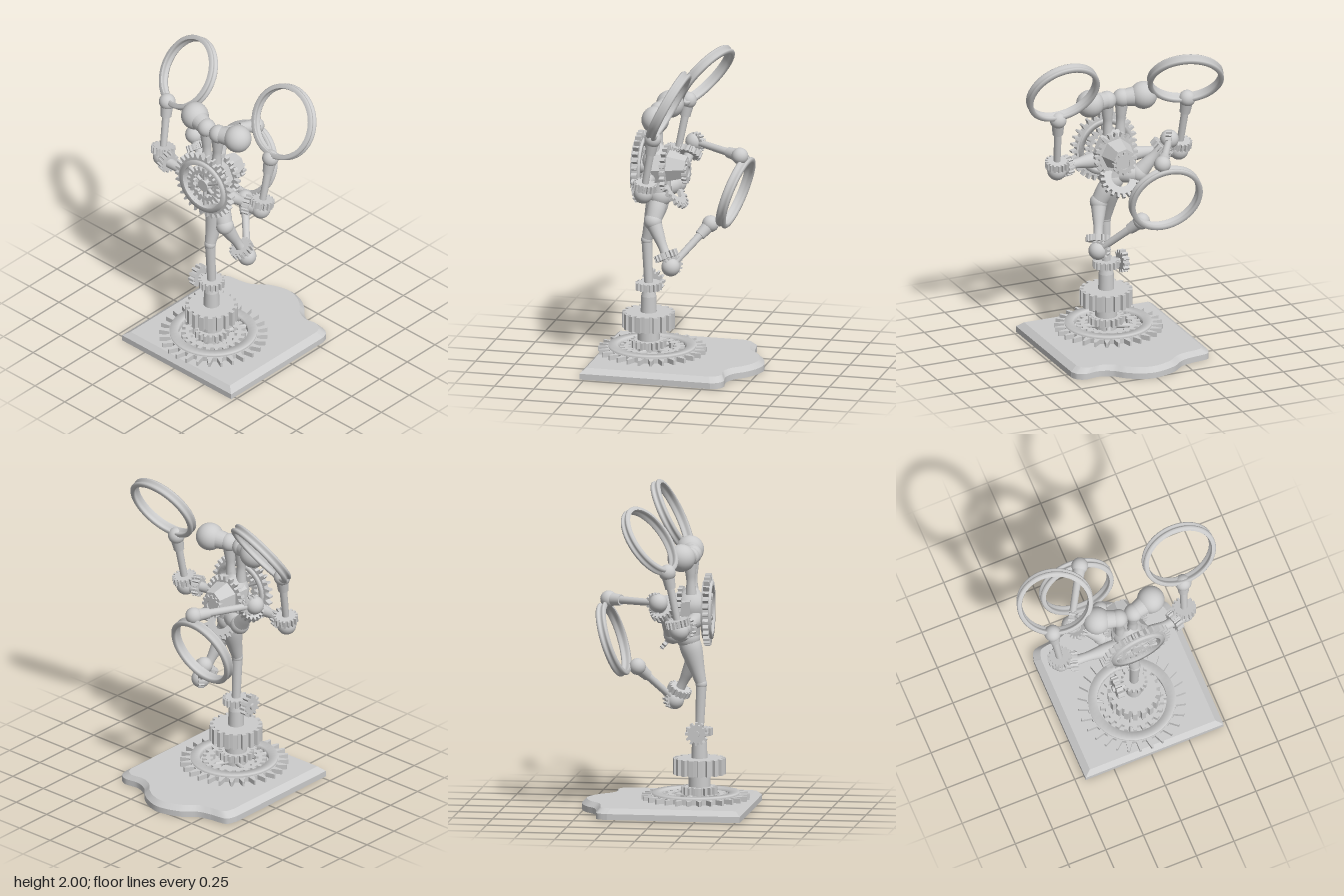
import * as THREE from 'three';

const mat = new THREE.MeshStandardMaterial({ color: 0xcccccc });
const V = (x, y, z) => new THREE.Vector3(x, y, z);
const Y = V(0, 1, 0), Z = V(0, 0, 1);

export function createModel() {
  const root = new THREE.Group();

  const add = (name, geo, parent = root) => {
    const m = new THREE.Mesh(geo, mat);
    m.name = name;
    parent.add(m);
    return m;
  };

  const ball = (name, p, r) => add(name, new THREE.SphereGeometry(r, 24, 16)).position.copy(p);

  // Tapered rod between two points
  const rod = (name, a, b, ra, rb) => {
    const d = b.clone().sub(a);
    const m = add(name, new THREE.CylinderGeometry(rb, ra, d.length(), 20));
    m.position.copy(a).lerp(b, 0.5);
    m.quaternion.setFromUnitVectors(Y, d.normalize());
  };

  // Rounded limb: a smooth profile [distance fraction, radius] turned about the line a-b
  const limb = (name, a, b, profile) => {
    const d = b.clone().sub(a), len = d.length();
    const pts = new THREE.SplineCurve(profile.map(([t, r]) => new THREE.Vector2(r, t * len))).getPoints(20);
    const m = add(name, new THREE.LatheGeometry(pts, 24));
    m.material = mat;
    m.position.copy(a);
    m.quaternion.setFromUnitVectors(Y, d.normalize());
  };

  // Toothed outline; tip is the share of a tooth that stays flat at the top
  const toothed = (path, rRoot, rTip, n, tip) => {
    const pts = [];
    for (let i = 0; i < n; i++) {
      for (const [f, r] of [[-0.5, rRoot], [-0.3, rRoot], [-tip, rTip], [tip, rTip], [0.3, rRoot]]) {
        const a = (i + f) / n * Math.PI * 2;
        pts.push(new THREE.Vector2(Math.cos(a) * r, Math.sin(a) * r));
      }
    }
    return path.setFromPoints(pts);
  };

  // Gear centred on p, turning about axis
  const gear = (name, p, axis, r, thick, n, { depth = 0.2, tip = 0.2, hole = 0, inner = 0 } = {}) => {
    const s = toothed(new THREE.Shape(), r * (1 - depth), r, n, tip);
    if (inner) s.holes.push(toothed(new THREE.Path(), inner, inner * 0.87, Math.round(n * 0.7), 0.2));
    else if (hole) s.holes.push(new THREE.Path().absarc(0, 0, hole, 0, Math.PI * 2, true));
    const g = new THREE.ExtrudeGeometry(s, { depth: thick, bevelEnabled: false, curveSegments: 32 });
    g.translate(0, 0, -thick / 2);
    const m = add(name, g);
    m.position.copy(p);
    m.quaternion.setFromUnitVectors(Z, axis.clone().normalize());
  };

  // Ring with rectangular section
  const band = (name, p, axis, rIn, rOut, thick) => {
    const h = thick / 2;
    const pts = [[rIn, -h], [rOut, -h], [rOut, h], [rIn, h], [rIn, -h]];
    const m = add(name, new THREE.LatheGeometry(pts.map(q => new THREE.Vector2(...q)), 48));
    m.position.copy(p);
    m.quaternion.setFromUnitVectors(Y, axis.clone().normalize());
  };

  // Base plate: upright lower edge, sloped upper edge
  const outline = new THREE.Shape();
  outline.moveTo(-0.53, -0.44);
  outline.lineTo(0.3, -0.44);
  outline.splineThru([[0.365, -0.41], [0.385, -0.3], [0.41, -0.22], [0.48, -0.13], [0.52, 0], [0.5, 0.1],
    [0.45, 0.18], [0.39, 0.24], [0.36, 0.32], [0.37, 0.41], [0.345, 0.46], [0.3, 0.48]]
    .map(q => new THREE.Vector2(...q)));
  outline.lineTo(-0.53, 0.48);
  for (const [top, depth, sx, sz] of [[0.037, 0.037, 1, 1], [0.067, 0.03, 0.94, 0.91]]) {
    const g = new THREE.ExtrudeGeometry(outline, { depth, bevelEnabled: false, curveSegments: 36 });
    g.rotateX(Math.PI / 2).translate(0, top, 0);
    const pos = g.attributes.position;
    for (let i = 0; i < pos.count; i++) {
      if (pos.getY(i) > top - 0.001) pos.setXYZ(i, pos.getX(i) * sx, top, 0.02 + (pos.getZ(i) - 0.02) * sz);
    }
    g.computeVertexNormals();
    add('basePlate', g);
  }

  // Flat ring gear on the plate
  const disc = V(-0.188, 0.09, 0.01);
  gear('baseRingGear', disc, Y, 0.335, 0.03, 28, { depth: 0.18, tip: 0.08, hole: 0.215 });
  band('baseRingRim', V(-0.188, 0.1, 0.01), Y, 0.215, 0.27, 0.04);
  gear('baseInnerGear', V(-0.188, 0.09, 0.01), Y, 0.2, 0.035, 22, { depth: 0.13, inner: 0.15 });
  for (let i = 0; i < 4; i++) {
    const a = i * Math.PI / 2 + 0.4;
    rod('baseSpoke', disc, V(-0.188 + Math.cos(a) * 0.23, 0.085, 0.01 + Math.sin(a) * 0.23), 0.015, 0.015);
  }

  // Pillar with its stacked gears
  const P = y => V(-0.21, y, 0.015);
  gear('pillarFootGear', P(0.13), Y, 0.11, 0.045, 18);
  rod('pillarLower', P(0.07), P(0.24), 0.07, 0.067);
  gear('pillarGear', P(0.28), Y, 0.163, 0.1, 18, { depth: 0.14, tip: 0.24 });
  rod('pillarUpper', P(0.32), P(0.43), 0.05, 0.047);
  rod('pillarShoulder', P(0.43), P(0.48), 0.047, 0.036);
  gear('ankleGear', P(0.495), Y, 0.083, 0.045, 16);
  rod('sideGearShaft', V(-0.21, 0.495, -0.13), P(0.495), 0.02, 0.02);
  gear('sideGear', V(-0.21, 0.495, -0.095), Z, 0.072, 0.04, 12, { depth: 0.25 });

  // Standing leg
  const knee = V(-0.222, 0.79, 0.015), pelvis = V(-0.14, 1.08, 0.01);
  rod('standingShin', P(0.5), knee, 0.027, 0.033);
  ball('standingKnee', knee, 0.036);
  limb('standingThigh', knee, pelvis, [[0, 0.033], [0.3, 0.046], [0.75, 0.068], [1, 0.06]]);
  ball('pelvis', pelvis, 0.075);

  // Torso: waist, faceted chest and toothed plates
  limb('waist', pelvis, V(-0.17, 1.4, -0.02), [[0, 0.07], [0.3, 0.075], [0.7, 0.095], [1, 0.03]]);
  const chest = add('chest', new THREE.CylinderGeometry(0.07, 0.125, 0.2, 7).toNonIndexed());
  chest.geometry.computeVertexNormals();
  chest.rotation.z = -Math.PI / 2;
  chest.position.set(-0.07, 1.265, 0);
  gear('chestGear', V(0.025, 1.24, 0), V(1, 0, 0), 0.075, 0.03, 12, { hole: 0.035 });
  gear('chestPlateGear', V(-0.1, 1.255, 0), V(1, 0, 0), 0.145, 0.03, 20);
  gear('bellyGear', V(-0.06, 1.11, -0.01), V(0.77, 0.64, 0), 0.13, 0.025, 20, { hole: 0.06 });

  // Large back gear
  const bc = V(-0.265, 1.255, 0.01), bAxis = V(1, 0, -0.06);
  gear('backGear', bc, bAxis, 0.225, 0.035, 30, { depth: 0.14, tip: 0.12, hole: 0.15 });
  band('backGearRim', bc, bAxis, 0.15, 0.18, 0.06);
  gear('backInnerGear', bc, bAxis, 0.13, 0.03, 20, { inner: 0.085 });
  rod('backAxle', V(-0.285, 1.255, 0.01), V(-0.1, 1.255, 0.01), 0.04, 0.05);
  for (let i = 0; i < 3; i++) {
    const a = i * Math.PI / 3;
    const o = V(0, Math.cos(a) * 0.16, Math.sin(a) * 0.16);
    rod('backSpoke', bc.clone().sub(o), bc.clone().add(o), 0.012, 0.012);
  }

  // Hoop with two rims and a groove between them
  const hoop = (name, p, axis) => {
    const prof = [[0.208, -0.03], [0.228, -0.03], [0.236, -0.022], [0.236, -0.012], [0.226, -0.006], [0.226, 0.006],
      [0.236, 0.012], [0.236, 0.022], [0.228, 0.03], [0.208, 0.03], [0.204, 0.02], [0.212, 0.006], [0.212, -0.006],
      [0.204, -0.02], [0.208, -0.03]];
    const m = add(name, new THREE.LatheGeometry(prof.map(q => new THREE.Vector2(...q)), 64));
    m.position.copy(p);
    m.quaternion.setFromUnitVectors(Y, axis.normalize());
  };
  hoop('leftHoop', V(0.02, 1.775, 0.41), V(0.89, -0.45, 0));
  hoop('rightHoop', V(0.036, 1.74, -0.41), V(0.78, -0.58, 0.24));
  hoop('frontHoop', V(0.298, 1.085, -0.158), V(0.95, -0.31, 0.05));

  // Rod ending in a flared socket and a ball that grips a hoop
  const grip = (name, from, to) => {
    const d = to.clone().sub(from).normalize();
    const neck = to.clone().addScaledVector(d, -0.1);
    rod(name + 'Rod', from, neck, 0.021, 0.024);
    rod(name + 'Socket', neck, to, 0.033, 0.042);
    ball(name + 'Ball', to, 0.052);
  };

  // Shoulders and raised arms on both sides
  for (const [side, s, elbow, hand] of [
    ['left', 1, V(-0.15, 1.19, 0.375), V(-0.085, 1.55, 0.395)],
    ['right', -1, V(-0.155, 1.19, -0.45), V(-0.085, 1.555, -0.475)]]) {
    const zc = -0.02;
    const neck = V(-0.17, 1.36, zc + s * 0.04), top = V(-0.165, 1.595, zc + s * 0.05);
    const shoulder = V(-0.13, 1.605, zc + s * 0.18);
    limb(side + 'Column', neck, top, [[0, 0.034], [0.35, 0.028], [0.6, 0.034], [1, 0.046]]);
    ball(side + 'ColumnTop', top, 0.058);
    rod(side + 'ShoulderLink', top, shoulder, 0.05, 0.068);
    ball(side + 'Shoulder', shoulder, 0.086);

    const side2 = elbow.clone().add(V(-0.03, 0.01, -s * 0.075));
    const root2 = V(-0.2, 1.2, s * 0.06);
    limb(side + 'UpperArm', root2, side2, [[0, 0.05], [0.35, 0.045], [0.7, 0.03], [1, 0.034]]);
    gear(side + 'ElbowSideGear', side2, V(-0.3, 0, -s), 0.066, 0.045, 14);
    rod(side + 'ElbowLink', side2, elbow, 0.045, 0.05);
    ball(side + 'Elbow', elbow, 0.06);
    const up = hand.clone().sub(elbow).normalize();
    gear(side + 'ElbowGear', elbow.clone().addScaledVector(up, 0.05), up, 0.075, 0.045, 16);
    grip(side + 'Hand', elbow, hand);
  }

  // Bent front limbs: hip, thigh, geared knee, grip
  const bent = (name, hip, mid, kneeP, end, r) => {
    const d = kneeP.clone().sub(mid).normalize();
    limb(name + 'Hip', hip, mid, [[0, r], [0.5, r * 1.1], [1, r * 0.95]]);
    ball(name + 'HipBall', mid, r * 1.08);
    limb(name + 'Thigh', mid, kneeP, [[0, r], [0.3, r * 0.75], [0.6, r * 0.55], [1, r * 0.75]]);
    ball(name + 'Knee', kneeP, 0.058);
    gear(name + 'KneeGear', kneeP.clone().addScaledVector(d, -0.075), d, 0.076, 0.04, 16);
    const e = end.clone().sub(kneeP).normalize();
    gear(name + 'KneeSideGear', kneeP.clone().addScaledVector(e, 0.02), V(-e.z, 0, e.x), 0.064, 0.035, 14);
    grip(name + 'Foot', kneeP, end);
  };
  bent('lowerLimb', pelvis, V(-0.165, 0.93, 0.085), V(-0.035, 0.665, 0.15), V(0.165, 0.9, -0.055), 0.052);
  bent('upperLimb', V(-0.12, 1.12, -0.03), V(-0.07, 1.12, -0.14), V(-0.005, 1.34, -0.32), V(0.335, 1.328, -0.12), 0.055);

  return root;
}
